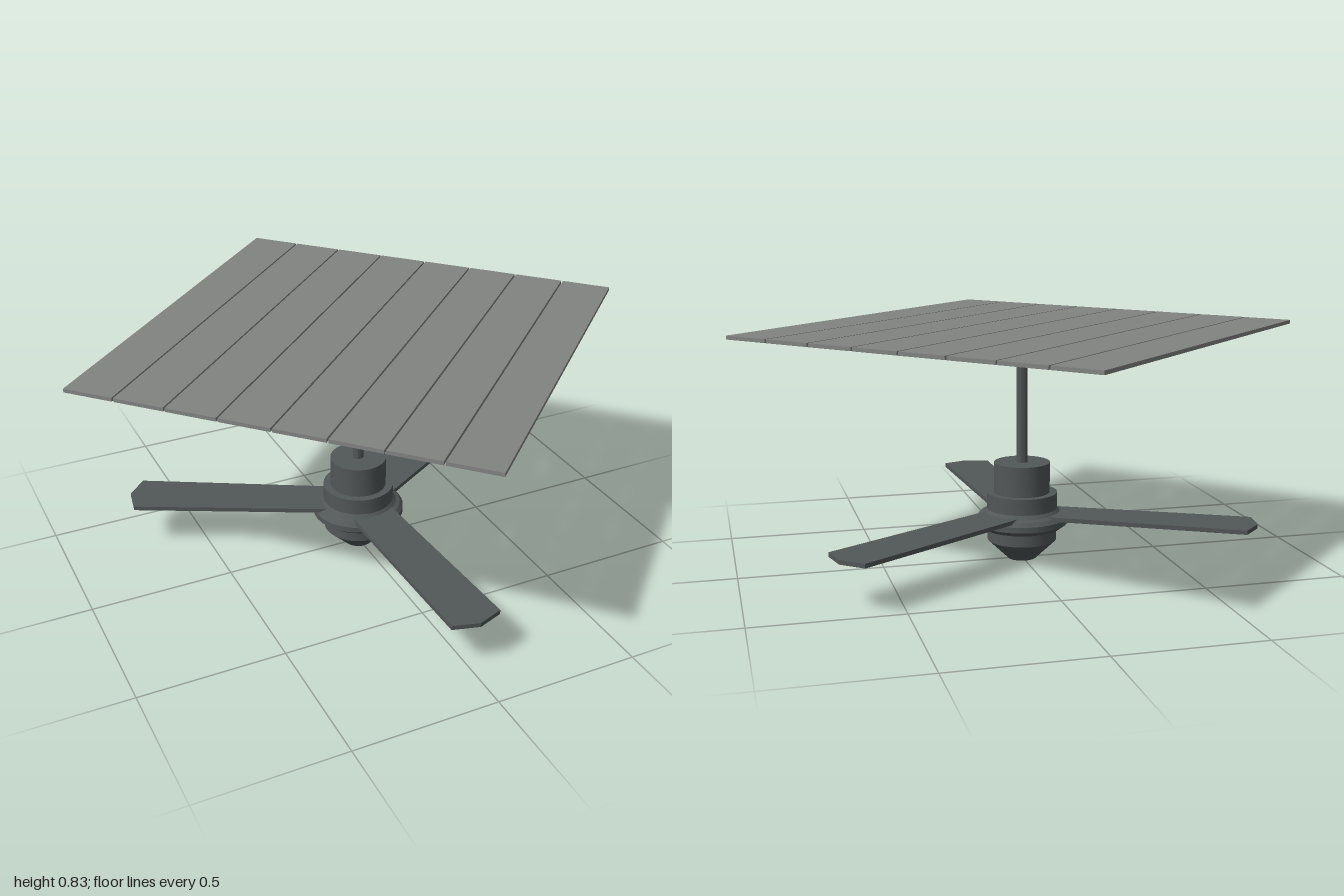
import * as THREE from 'three';
import { toCreasedNormals } from 'three/addons/utils/BufferGeometryUtils.js';

export function createModel() {
  const model = new THREE.Group();
  model.name = 'ceilingFan';

  const ceilingGrey = new THREE.MeshStandardMaterial({ color: 0x828482 });
  ceilingGrey.name = 'ceilingGrey';
  const fanGrey = new THREE.MeshStandardMaterial({ color: 0x525758 });
  fanGrey.name = 'fanGrey';

  function add(parent, name, geometry, material) {
    const mesh = new THREE.Mesh(geometry, material);
    mesh.name = name;
    parent.add(mesh);
    return mesh;
  }

  // Turned part from a bottom-to-top profile of [radius, height]
  function turned(name, profile) {
    const points = profile.map(([r, y]) => new THREE.Vector2(r, y));
    const geometry = toCreasedNormals(new THREE.LatheGeometry(points, 32), 0.45);
    return add(model, name, geometry, fanGrey);
  }

  // Ceiling: eight planks with narrow open seams
  const ceiling = new THREE.Group();
  ceiling.name = 'ceiling';
  ceiling.rotation.y = THREE.MathUtils.degToRad(43.3);
  ceiling.position.y = 0.82;
  model.add(ceiling);
  const side = 1.414, count = 8, gap = 0.006;
  const width = (side - gap * (count - 1)) / count;
  for (let i = 0; i < count; i++) {
    const plank = add(ceiling, 'plank', new THREE.BoxGeometry(side, 0.013, width), ceilingGrey);
    plank.position.z = -side / 2 + width / 2 + i * (width + gap);
  }

  // Ceiling mount and hanging rod
  turned('mount', [
    [0, 0.75], [0.076, 0.75], [0.076, 0.805], [0.105, 0.805], [0.105, 0.8135], [0, 0.8135],
  ]);
  turned('rod', [[0.019, 0.34], [0.019, 0.755]]);

  // Motor housing with lower bowl and flared rim
  turned('motorHousing', [
    [0, 0], [0.05, 0], [0.123, 0.07], [0.123, 0.115], [0.14, 0.115],
    [0.162, 0.132], [0.162, 0.152], [0.15, 0.166], [0.136, 0.172], [0.125, 0.185],
    [0.125, 0.242], [0.099, 0.242], [0.099, 0.35], [0, 0.35],
  ]);

  // Three blades, slightly wider towards the pointed tips
  const outline = new THREE.Shape([
    [0.08, -0.078], [0.8, -0.09], [0.829, 0], [0.8, 0.09], [0.08, 0.078],
  ].map(([x, y]) => new THREE.Vector2(x, y)));
  const bladeGeometry = new THREE.ExtrudeGeometry(outline, { depth: 0.015, bevelEnabled: false });
  bladeGeometry.rotateX(-Math.PI / 2);
  for (let i = 0; i < 3; i++) {
    const blade = add(model, 'blade', bladeGeometry, fanGrey);
    blade.position.y = 0.159;
    blade.rotation.y = THREE.MathUtils.degToRad(32 + i * 120);
  }

  return model;
}
